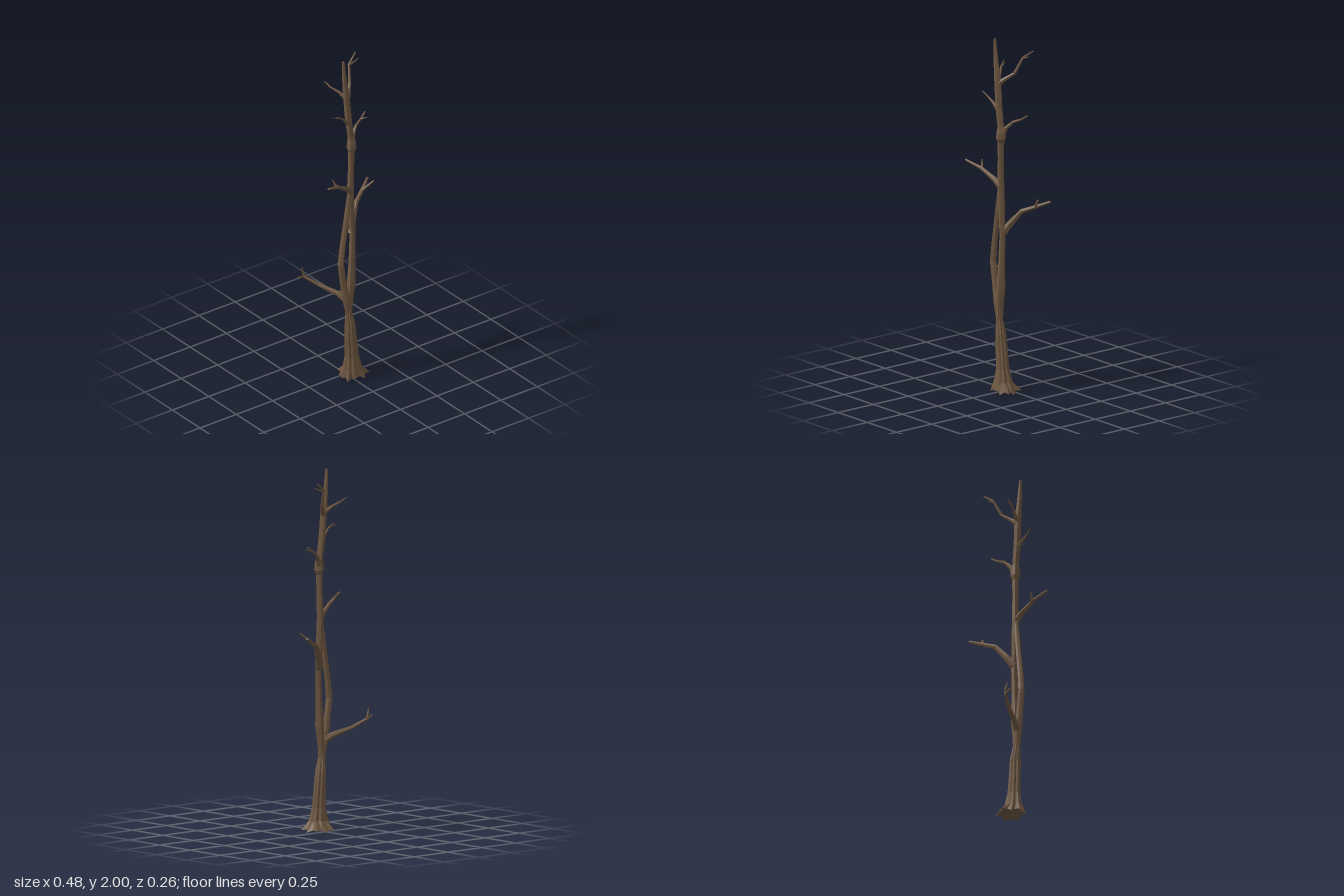
import * as THREE from 'three';

const bark = new THREE.MeshStandardMaterial({ color: 0x6f5842 });
bark.name = 'brown bark';

// Skin a stack of equal-length rings (counter-clockwise seen from the tip), with closed ends
function loft(name, rings) {
  const pos = [];
  const tri = (a, b, c) => pos.push(...a.toArray(), ...b.toArray(), ...c.toArray());
  const n = rings[0].length;
  const middle = ring => ring.reduce((s, p) => s.add(p), new THREE.Vector3()).divideScalar(n);
  const first = rings[0], last = rings[rings.length - 1];
  const m0 = middle(first), m1 = middle(last);
  for (let i = 0; i < n; i++) {
    const j = (i + 1) % n;
    for (let k = 0; k < rings.length - 1; k++) {
      const a = rings[k], b = rings[k + 1];
      tri(a[i], a[j], b[j]);
      tri(a[i], b[j], b[i]);
    }
    tri(m0, first[j], first[i]);
    tri(m1, last[i], last[j]);
  }
  const geo = new THREE.BufferGeometry();
  geo.setAttribute('position', new THREE.Float32BufferAttribute(pos, 3));
  geo.computeVertexNormals(); // unshared corners give flat facets
  const mesh = new THREE.Mesh(geo, bark);
  mesh.name = name;
  return mesh;
}

// Tapering limb through [x, y, z, radius] points; ridge makes every other side sink in
function limb(name, path, sides = 6, ridge = 0) {
  const pts = path.map(p => new THREE.Vector3(p[0], p[1], p[2]));
  const up = new THREE.Vector3(0, 1, 0);
  const rings = pts.map((p, k) => {
    const dir = pts[Math.min(k + 1, pts.length - 1)].clone().sub(pts[Math.max(k - 1, 0)]).normalize();
    const q = new THREE.Quaternion().setFromUnitVectors(up, dir);
    return Array.from({ length: sides }, (_, i) => {
      const a = i / sides * Math.PI * 2;
      const r = path[k][3] * (i % 2 ? 1 - ridge : 1);
      return new THREE.Vector3(Math.cos(a) * r, 0, -Math.sin(a) * r).applyQuaternion(q).add(p);
    });
  });
  return loft(name, rings);
}

// Ridged trunk foot that spreads into pointed roots
function trunkFoot() {
  const tips = [[0.104, 0.04], [0.09, -0.025], [0.03, -0.05], [-0.02, -0.05], [-0.045, -0.005],
    [-0.062, 0.04], [-0.048, 0.086], [0, 0.096], [0.057, 0.106], [0.108, 0.08]];
  const base = [];
  tips.forEach(([x, z], i) => {
    const [nx, nz] = tips[(i + 1) % tips.length];
    base.push(new THREE.Vector3(x, i % 2 ? 0.012 : 0, z));
    base.push(new THREE.Vector3(0.015 + ((x + nx) / 2 - 0.015) * 0.82, 0.015, 0.035 + ((z + nz) / 2 - 0.035) * 0.82));
  });
  // x, y, z, half width, half depth
  const levels = [[0.014, 0.06, 0.043, 0.058, 0.048], [0.01, 0.13, 0.044, 0.041, 0.035],
    [0.002, 0.24, 0.045, 0.036, 0.032], [-0.003, 0.33, 0.046, 0.029, 0.031], [-0.016, 0.43, 0.048, 0.019, 0.017]];
  const rings = levels.map(([x, y, z, w, d]) => base.map((_, i) => {
    const a = i / base.length * Math.PI * 2, s = i % 2 ? 0.84 : 1;
    return new THREE.Vector3(x + Math.cos(a) * w * s, y, z - Math.sin(a) * d * s);
  }));
  return loft('trunkFoot', [base, ...rings]);
}

export function createModel() {
  const tree = new THREE.Group();
  tree.name = 'bareTree';
  tree.add(trunkFoot());

  // Two stems that part above the foot and join again
  tree.add(limb('mainStem', [[-0.014, 0.38, 0.048, 0.02], [-0.008, 0.47, 0.048, 0.021], [0.002, 0.58, 0.05, 0.026],
    [0.008, 0.72, 0.05, 0.02], [0.013, 0.9, 0.048, 0.017], [0.004, 1.06, 0.048, 0.02], [-0.001, 1.18, 0.048, 0.02],
    [0.002, 1.32, 0.05, 0.018], [0.004, 1.42, 0.051, 0.019], [0.005, 1.445, 0.051, 0.029], [0.005, 1.475, 0.051, 0.027],
    [0.001, 1.51, 0.05, 0.019], [-0.015, 1.62, 0.05, 0.02], [-0.028, 1.77, 0.048, 0.02],
    [-0.042, 1.88, 0.049, 0.014], [-0.052, 2, 0.05, 0.008]], 10, 0.14));
  tree.add(limb('sideStem', [[-0.017, 0.4, 0.048, 0.016], [-0.03, 0.5, 0.047, 0.025], [-0.046, 0.58, 0.046, 0.021],
    [-0.068, 0.73, 0.047, 0.02], [-0.057, 0.83, 0.047, 0.018], [-0.022, 1.06, 0.048, 0.016],
    [-0.006, 1.19, 0.048, 0.012]], 8, 0.1));

  // Each branch: main path, then its twigs
  const branches = {
    lowBranch: [
      [[-0.03, 0.5, 0.045, 0.024], [-0.06, 0.53, 0.01, 0.016], [-0.13, 0.573, -0.07, 0.01], [-0.19, 0.62, -0.125, 0.008], [-0.238, 0.635, -0.115, 0.004]],
      [[-0.185, 0.615, -0.122, 0.008], [-0.194, 0.64, -0.128, 0.006], [-0.205, 0.68, -0.122, 0.003]]],
    rightBranch: [
      [[0.008, 0.9, 0.045, 0.022], [0.035, 0.955, 0.015, 0.02], [0.09, 1.035, -0.025, 0.014], [0.165, 1.07, -0.068, 0.011], [0.235, 1.105, -0.11, 0.007]],
      [[0.16, 1.068, -0.065, 0.009], [0.22, 1.125, -0.033, 0.005]]],
    leftBranch: [
      [[0, 1.17, 0.05, 0.02], [-0.04, 1.205, 0.062, 0.015], [-0.12, 1.255, 0.088, 0.01], [-0.213, 1.29, 0.125, 0.006]],
      [[-0.115, 1.25, 0.086, 0.009], [-0.128, 1.265, 0.078, 0.007], [-0.14, 1.297, 0.065, 0.003]]],
    upperRightBranch: [
      [[0.005, 1.46, 0.048, 0.019], [0.025, 1.505, 0.033, 0.013], [0.062, 1.545, 0.012, 0.008], [0.11, 1.566, -0.005, 0.006], [0.148, 1.593, -0.018, 0.004]],
      [[0.105, 1.565, -0.003, 0.005], [0.135, 1.578, 0.02, 0.002]]],
    upperLeftBranch: [
      [[-0.015, 1.6, 0.05, 0.015], [-0.058, 1.645, 0.062, 0.007], [-0.09, 1.672, 0.073, 0.004], [-0.125, 1.692, 0.075, 0.002]],
      [[-0.085, 1.668, 0.071, 0.004], [-0.14, 1.685, 0.064, 0.0015]]],
    topRightBranch: [
      [[-0.025, 1.75, 0.047, 0.018], [0.005, 1.78, 0.02, 0.012], [0.04, 1.812, -0.015, 0.009], [0.065, 1.9, -0.055, 0.007], [0.127, 1.947, -0.077, 0.004]],
      [[0.062, 1.895, -0.052, 0.006], [0.125, 1.92, -0.048, 0.003]]],
    topLeftBranch: [
      [[-0.028, 1.76, 0.045, 0.014], [-0.052, 1.795, 0.012, 0.008], [-0.088, 1.825, -0.028, 0.005], [-0.102, 1.85, -0.06, 0.002]],
      [[-0.085, 1.822, -0.026, 0.004], [-0.086, 1.838, -0.053, 0.002]]],
  };
  for (const [name, paths] of Object.entries(branches)) {
    const branch = new THREE.Group();
    branch.name = name;
    paths.forEach((path, i) => branch.add(limb(i ? 'twig' : 'branchLimb', path, i ? 5 : 6)));
    tree.add(branch);
  }
  return tree;
}
